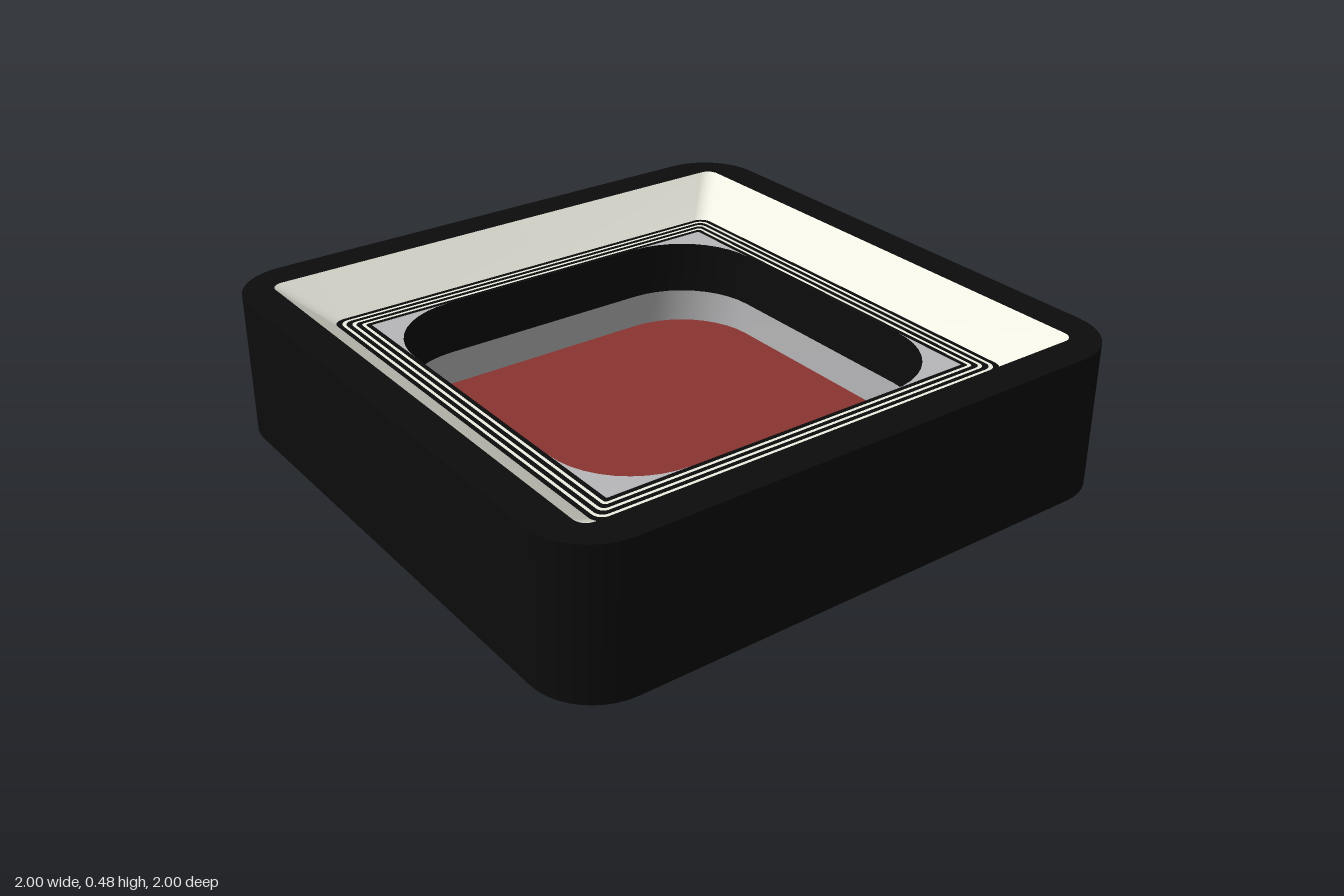
import * as THREE from 'three';
import { toCreasedNormals } from 'three/addons/utils/BufferGeometryUtils.js';

const SEG = 10; // segments per rounded corner

// Outline of a rounded square as [x, z] pairs
function outline(half, r) {
  const pts = [];
  for (let c = 0; c < 4; c++) {
    const mid = (c + 0.5) * Math.PI / 2;
    const cx = Math.sign(Math.cos(mid)) * (half - r);
    const cz = Math.sign(Math.sin(mid)) * (half - r);
    for (let i = 0; i <= SEG; i++) {
      const a = (c + i / SEG) * Math.PI / 2;
      pts.push([cx + r * Math.cos(a), cz + r * Math.sin(a)]);
    }
  }
  return pts;
}

// Skin through rounded squares given as [half, radius, y], from outside to inside
function loft(rings) {
  const pos = [], index = [], n = 4 * (SEG + 1);
  for (const [half, r, y] of rings) {
    for (const [x, z] of outline(half, r)) pos.push(x, y, z);
  }
  for (let k = 0; k < rings.length - 1; k++) {
    for (let i = 0; i < n; i++) {
      const p = k * n + i, q = k * n + (i + 1) % n;
      index.push(p, p + n, q, q, p + n, q + n);
    }
  }
  const geo = new THREE.BufferGeometry();
  geo.setAttribute('position', new THREE.Float32BufferAttribute(pos, 3));
  geo.setIndex(index);
  return toCreasedNormals(geo, 0.5);
}

function roundedShape(half, r) {
  return new THREE.Shape(outline(half, r).map(([x, z]) => new THREE.Vector2(x, z)));
}

export function createModel() {
  const group = new THREE.Group();
  const material = (color) => new THREE.MeshStandardMaterial({ color, side: THREE.DoubleSide });
  const black = material(0x0c0c0c);
  const cream = material(0xeeeee2);
  const grey = material(0xb8b8ba);
  const red = material(0x8a3430);

  function add(name, geo, mat) {
    const mesh = new THREE.Mesh(geo, mat);
    mesh.name = name;
    group.add(mesh);
    return mesh;
  }

  const top = 0.48, ledge = 0.365, band = 0.185, floor = 0.07;
  const hole = 0.655, holeR = 0.28;

  // Outer wall and flat rim
  add('outerShell', loft([[1, 0.2, 0], [1, 0.2, top], [0.885, 0.04, top]]), black);

  // Sloping inner border
  add('slopedBorder', loft([[0.885, 0.04, top], [0.748, 0.04, ledge]]), cream);

  // Alternating dark and light stripes around the ledge
  const stripes = new THREE.Group();
  stripes.name = 'ledgeStripes';
  let half = 0.748;
  const cornerR = (h) => 0.003 + 0.037 * (h - hole) / (0.748 - hole);
  for (let i = 0; i < 7; i++) {
    const next = i === 6 ? hole : half - (i % 2 ? 0.0105 : 0.0154);
    const geo = loft([[half, cornerR(half), ledge], [next, cornerR(next), ledge]]);
    const stripe = new THREE.Mesh(geo, i % 2 ? cream : black);
    stripe.name = i % 2 ? 'lightStripe' : 'darkStripe';
    stripes.add(stripe);
    half = next;
  }
  group.add(stripes);

  // Ledge corners around the rounded well
  add('ledgeCorners', loft([[hole, 0.003, ledge], [hole, holeR, ledge]]), grey);

  // Well wall: dark upper band, grey lower band
  add('wellUpperWall', loft([[hole, holeR, ledge], [hole, holeR, band]]), black);
  add('wellLowerWall', loft([[hole, holeR, band], [hole, holeR, floor]]), grey);

  // Well floor slab, showing flush on the underside
  const slab = new THREE.ExtrudeGeometry(roundedShape(hole, holeR), { depth: floor, bevelEnabled: false });
  slab.rotateX(Math.PI / 2).translate(0, floor, 0);
  add('wellFloor', slab, red);

  // Underside
  const base = new THREE.ShapeGeometry(roundedShape(1, 0.2)).rotateX(Math.PI / 2).translate(0, 0.002, 0);
  add('underside', base, cream);

  return group;
}
